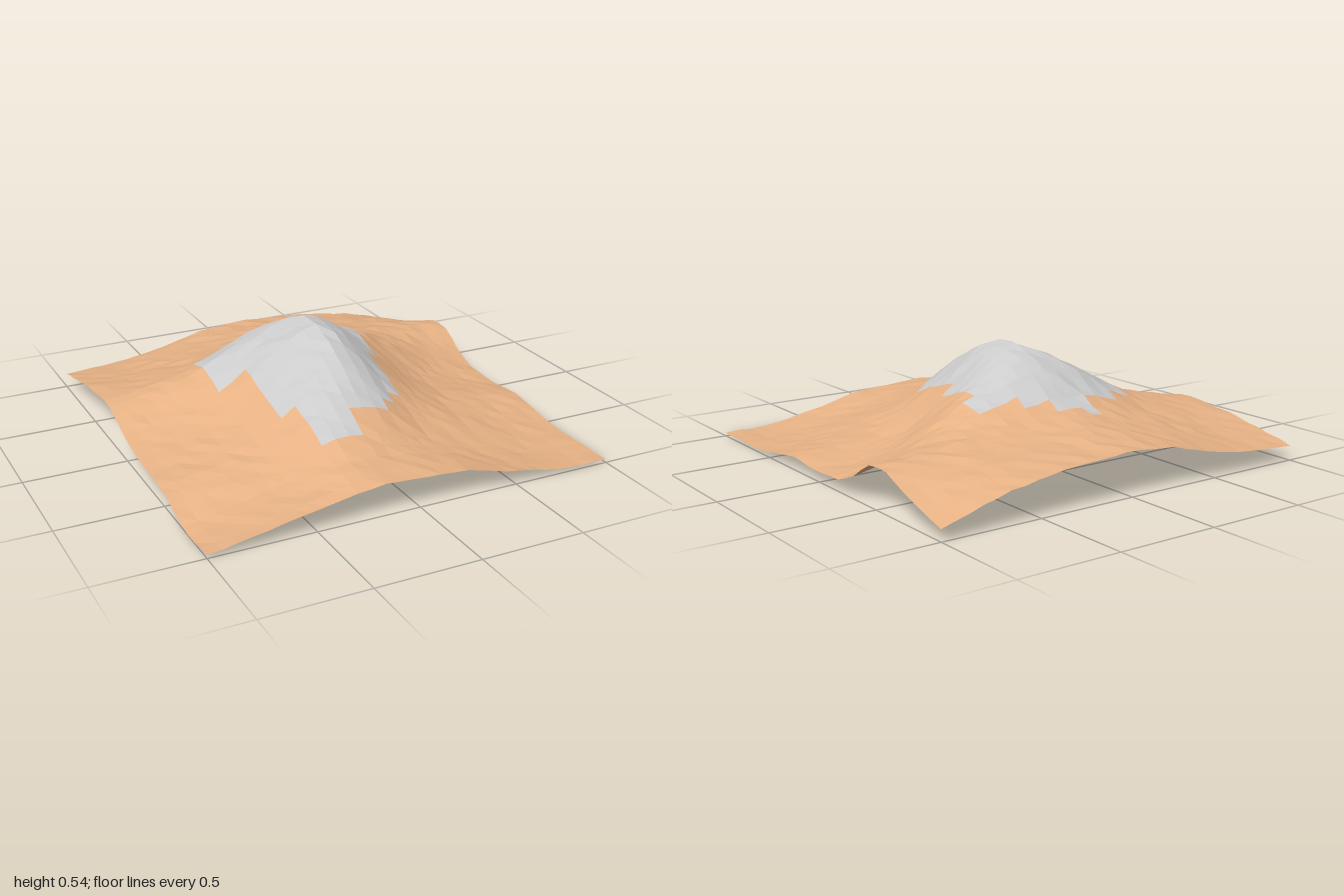
import * as THREE from 'three';

// Coarse heights in hundredths: rows run back to front, columns from -x to +x
const CONTROL = [
  [8, 9, 13, 19, 21, 20, 18, 13, 6],
  [13, 14, 18, 22, 25, 23, 21, 18, 13],
  [17, 19, 23, 29, 31, 28, 25, 22, 20],
  [19, 23, 31, 44, 49, 39, 27, 15, 8],
  [11, 16, 25, 44, 54, 36, 18, 9, 5],
  [8, 13, 20, 37, 46, 29, 15, 10, 7],
  [7, 11, 16, 30, 30, 19, 12, 6, 3],
  [1, 6, 12, 20, 18, 13, 7, 3, 2],
  [2, 6, 11, 15, 15, 13, 7, 3, 2],
];

// Extent of bare rock: [front limit in z, left x, right x]
const ROCK_SPANS = [
  [-0.53, -0.15, -0.09], [-0.45, -0.2, 0.03], [-0.38, -0.37, 0.17],
  [-0.25, -0.49, 0.4], [-0.04, -0.49, 0.3], [0.03, -0.37, 0.3], [0.36, -0.37, 0.23],
  [0.48, -0.3, 0.16], [0.55, -0.3, 0.1], [0.63, -0.3, -0.09],
];
const ROCK_BACK = -0.62;

const CELLS = 29;

// Catmull-Rom through evenly spaced values, t in 0..1, straight past the ends
function spline(values, t) {
  const last = values.length - 1;
  const i = Math.min(last - 1, Math.floor(t * last));
  const f = t * last - i;
  const b = values[i], c = values[i + 1];
  const a = i > 0 ? values[i - 1] : 2 * b - c;
  const d = i + 2 <= last ? values[i + 2] : 2 * c - b;
  return b + 0.5 * f * (c - a + f * (2 * a - 5 * b + 4 * c - d + f * (3 * (b - c) + d - a)));
}

// Repeatable roughness in -1..1
function rough(i, j) {
  const s = Math.sin(i * 127.1 + j * 311.7) * 43758.5453;
  return (s - Math.floor(s)) * 2 - 1;
}

function isRock(x, z) {
  const span = ROCK_SPANS.find(([limit]) => z < limit);
  return z > ROCK_BACK && Boolean(span) && x > span[1] && x < span[2];
}

function createPoint(i, j) {
  const u = i / CELLS, v = j / CELLS;
  const height = spline(CONTROL.map((row) => spline(row, u)), v) / 100;
  const y = height + rough(i, j) * (0.003 + 0.012 * height);
  return [u * 2 - 1, Math.max(0, y), v * 2 - 1];
}

function surface(name, positions, color) {
  const geometry = new THREE.BufferGeometry();
  geometry.setAttribute('position', new THREE.Float32BufferAttribute(positions, 3));
  geometry.computeVertexNormals();
  const material = new THREE.MeshStandardMaterial({ color, flatShading: true, side: THREE.DoubleSide });
  const mesh = new THREE.Mesh(geometry, material);
  mesh.name = name;
  return mesh;
}

export function createModel() {
  const model = new THREE.Group();
  model.name = 'mountainTerrain';
  const sand = [], rock = [];

  // Each grid cell goes to the sandy slopes or the rocky summit
  for (let j = 0; j < CELLS; j++) {
    for (let i = 0; i < CELLS; i++) {
      const a = createPoint(i, j), b = createPoint(i, j + 1);
      const c = createPoint(i + 1, j + 1), d = createPoint(i + 1, j);
      const target = isRock((a[0] + c[0]) / 2, (a[2] + c[2]) / 2) ? rock : sand;
      target.push(...a, ...b, ...c, ...a, ...c, ...d);
    }
  }

  model.add(surface('sandySlopes', sand, 0xe6b184));
  model.add(surface('rockySummit', rock, 0xcccccc));
  return model;
}
